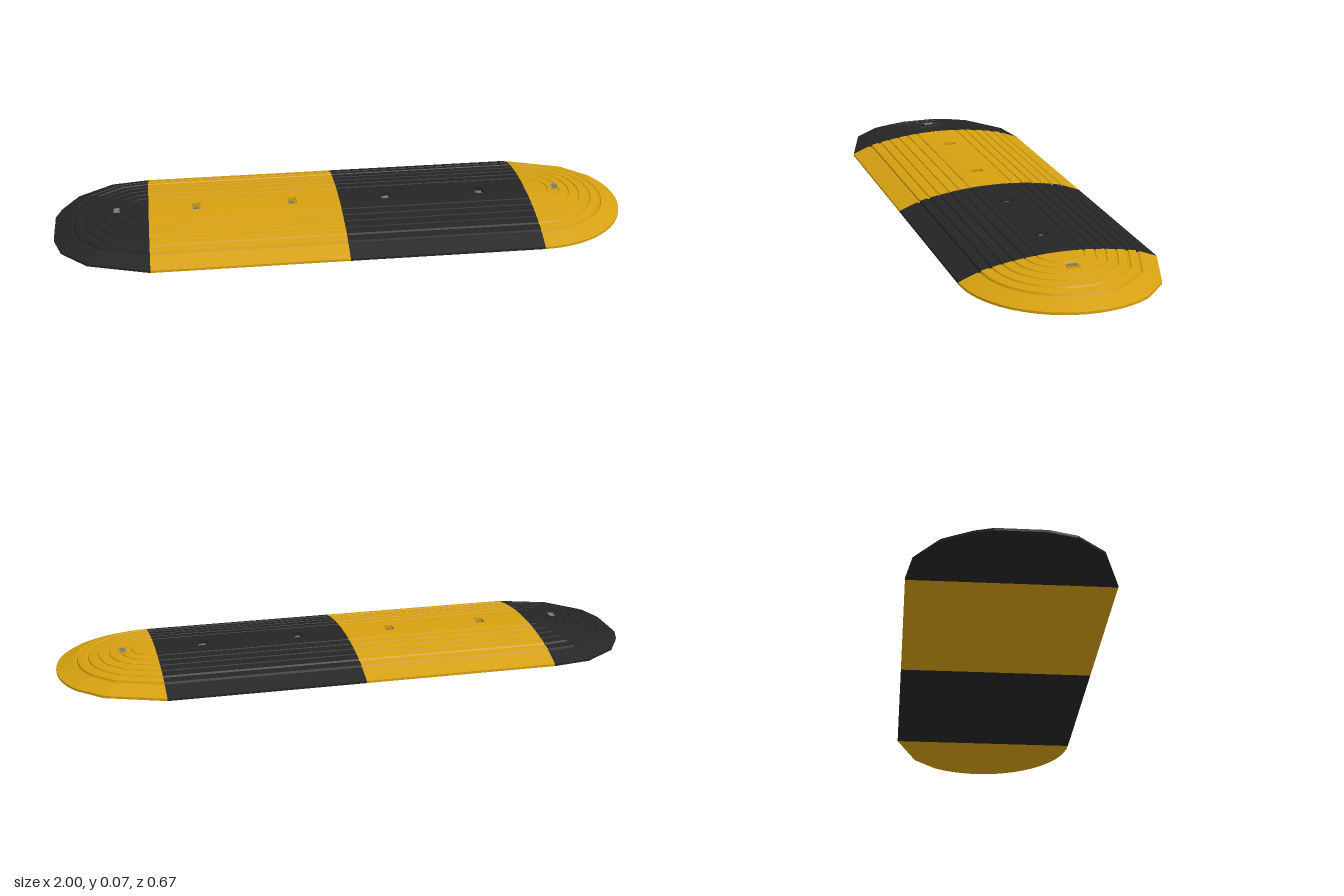
import * as THREE from 'three';

const HALF = 0.335, TOP = 0.066, SLOT_FLOOR = 0.052, STRIP = 0.034;
const SEAMS = [-0.673, -0.005, 0.663];

// height of the ramp at distance r from the centre line
function heightAt(r) {
  return r > 0.262 ? 0.008 + (HALF - r) / (HALF - 0.262) * 0.0285 : TOP - 0.43 * r * r;
}

// half profile from the bottom rim up to the crown, with grip grooves
function halfProfile() {
  const pts = [[HALF, 0], [HALF, 0.008]];
  for (const r of [0.267, 0.23, 0.192, 0.155, 0.118, 0.08]) {
    const w = r > 0.2 ? 0.006 : 0.003;
    pts.push([r + w, heightAt(r + w)], [r + w * 0.5, heightAt(r + w) - 0.003]);
    pts.push([r - w * 0.5, heightAt(r + w) - 0.003], [r - w, heightAt(r - w)]);
  }
  pts.push([STRIP, heightAt(STRIP)]);
  return pts;
}

// straight section with a channel for the crown strip
function sectionGeometry(length) {
  const right = [...halfProfile(), [STRIP, SLOT_FLOOR]];
  const left = right.map(([r, y]) => [-r, y]).reverse();
  const shape = new THREE.Shape([...right, ...left].map(([x, y]) => new THREE.Vector2(x, y)));
  return new THREE.ExtrudeGeometry(shape, { depth: length, bevelEnabled: false })
    .translate(0, 0, -length / 2).rotateY(Math.PI / 2);
}

// flat crown strip with two bolt slots
function stripGeometry(length, slots) {
  const rect = (C, cx, w, h) => new C([[-1, -1], [1, -1], [1, 1], [-1, 1]]
    .map(([x, y]) => new THREE.Vector2(cx + x * w / 2, y * h / 2)));
  const shape = rect(THREE.Shape, 0, length, STRIP * 2);
  for (const x of slots) shape.holes.push(rect(THREE.Path, x, 0.03, 0.046));
  return new THREE.ExtrudeGeometry(shape, { depth: heightAt(STRIP) - SLOT_FLOOR, bevelEnabled: false })
    .rotateX(-Math.PI / 2).translate(0, SLOT_FLOOR, 0);
}

// rounded end: the half profile swept over a plan outline
function endGeometry(outline) {
  const profile = [[0, 0], ...halfProfile(), [0, TOP]];
  const pos = [];
  const put = (i, j) => {
    const [r, y] = profile[j];
    pos.push(outline[i][0] * r / HALF, y, outline[i][1] * r / HALF);
  };
  for (let i = 0; i < outline.length - 1; i++) {
    for (let j = 0; j < profile.length - 1; j++) {
      put(i, j); put(i, j + 1); put(i + 1, j);
      put(i + 1, j); put(i, j + 1); put(i + 1, j + 1);
    }
  }
  const geo = new THREE.BufferGeometry();
  geo.setAttribute('position', new THREE.Float32BufferAttribute(pos, 3));
  geo.computeVertexNormals();
  return geo;
}

export function createModel() {
  const model = new THREE.Group();
  model.name = 'speedBump';
  const yellow = new THREE.MeshStandardMaterial({ name: 'yellow', color: 0xd6a010 });
  const black = new THREE.MeshStandardMaterial({ name: 'black rubber', color: 0x252525 });
  const grey = new THREE.MeshStandardMaterial({ name: 'bolt grey', color: 0x777777 });

  const add = (name, geo, mat, x, y = 0, z = 0) => {
    const mesh = new THREE.Mesh(geo, mat);
    mesh.name = name;
    mesh.position.set(x, y, z);
    model.add(mesh);
    return mesh;
  };

  // two straight sections with crown strips and sunk bolts
  [yellow, black].forEach((mat, k) => {
    const length = SEAMS[k + 1] - SEAMS[k], cx = (SEAMS[k] + SEAMS[k + 1]) / 2;
    const slots = [-0.168, 0.168];
    add('section', sectionGeometry(length), mat, cx);
    add('crownStrip', stripGeometry(length, slots), mat, cx);
    for (const s of slots) {
      add('washer', new THREE.BoxGeometry(0.024, 0.002, 0.036), grey, cx + s, SLOT_FLOOR + 0.001);
      add('bolt', new THREE.CylinderGeometry(0.009, 0.009, 0.007, 6), grey, cx + s, SLOT_FLOOR + 0.004);
    }
  });

  // faceted black end
  const leftOutline = [[0, 0.335], [-0.21, 0.265], [-0.3, 0.17], [-0.327, 0.08], [-0.327, -0.08],
    [-0.307, -0.14], [-0.25, -0.235], [-0.132, -0.315], [0, -0.335]];
  add('blackEnd', endGeometry(leftOutline), black, SEAMS[0]);

  // smooth yellow end with a clipped back corner
  const rightOutline = [[0, -0.335], [0.2, -0.262], [0.285, -0.178]];
  for (let i = 0; i <= 18; i++) {
    const a = THREE.MathUtils.lerp(-0.42, Math.PI / 2, i / 18);
    rightOutline.push([0.337 * Math.cos(a), HALF * Math.sin(a)]);
  }
  add('yellowEnd', endGeometry(rightOutline), yellow, SEAMS[2]);

  // bolts of the two ends
  for (const [x, mat] of [[-0.783, black], [0.773, yellow]]) {
    const y = heightAt(0.108);
    add('endSlot', new THREE.BoxGeometry(0.03, 0.006, 0.044), mat, x, y);
    add('endBolt', new THREE.BoxGeometry(0.02, 0.004, 0.034), grey, x, y + 0.002);
  }
  return model;
}
